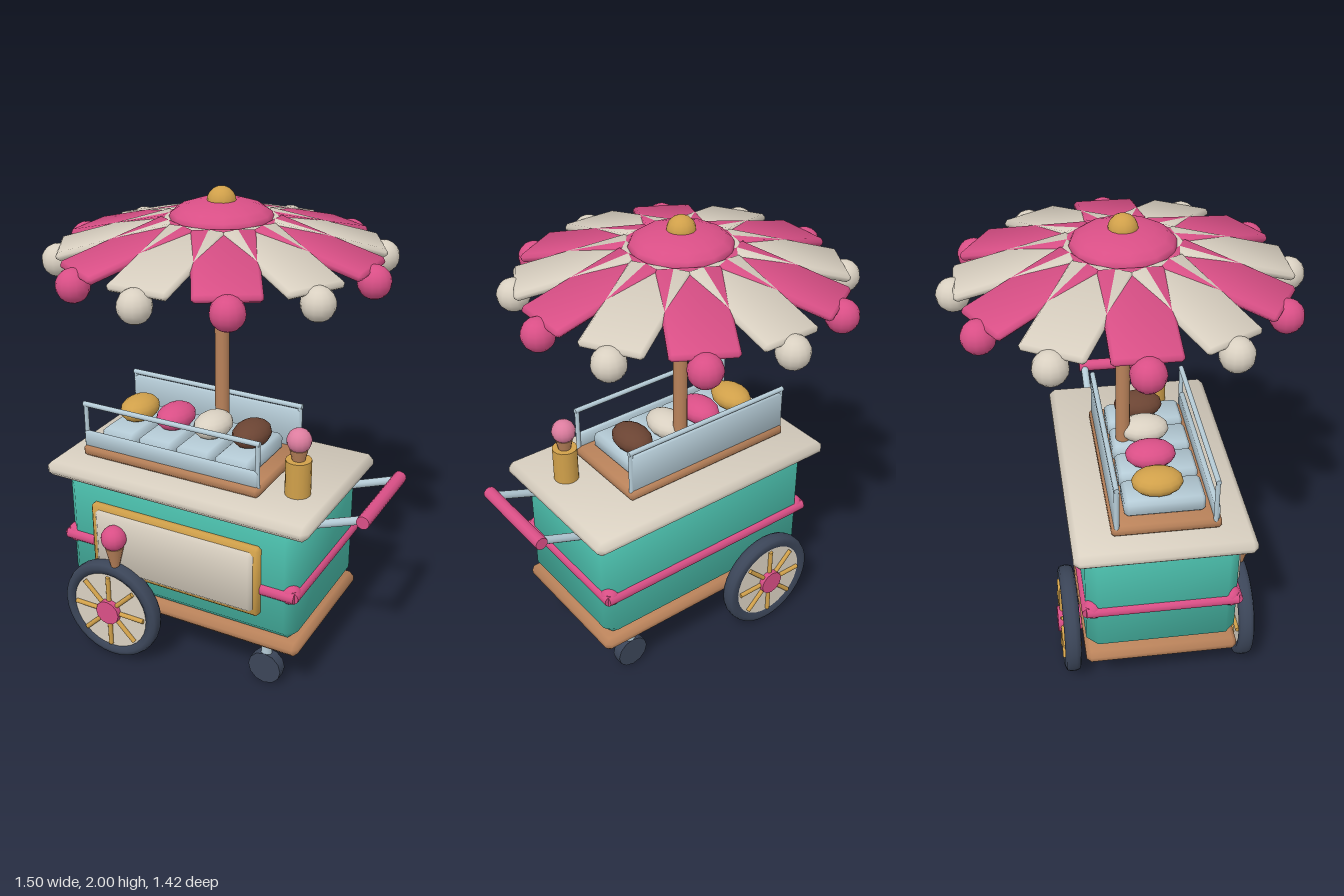
import * as THREE from 'three';
import { ConvexGeometry } from 'three/addons/geometries/ConvexGeometry.js';
import { mergeVertices } from 'three/addons/utils/BufferGeometryUtils.js';

const mat = (name, color, side = THREE.FrontSide) => {
  const m = new THREE.MeshStandardMaterial({ color, side });
  m.name = name;
  return m;
};

// Chamfered box with soft, pillow-like shading
function chamferBox(w, h, d, b) {
  const half = [w / 2, h / 2, d / 2];
  const pts = [];
  for (let axis = 0; axis < 3; axis++)
    for (const sx of [-1, 1]) for (const sy of [-1, 1]) for (const sz of [-1, 1]) {
      const s = [sx, sy, sz];
      pts.push(new THREE.Vector3(...half.map((v, i) => s[i] * (i === axis ? v : v - b))));
    }
  let g = new ConvexGeometry(pts);
  g.deleteAttribute('normal');
  g = mergeVertices(g, 1e-5);
  const p = g.attributes.position;
  const normals = [];
  for (let i = 0; i < p.count; i++) {
    const v = [p.getX(i), p.getY(i), p.getZ(i)];
    normals.push(...v.map((c, k) => Math.sign(c) * (Math.abs(c) > half[k] - b / 2 ? 0.876 : 0.34)));
  }
  g.setAttribute('normal', new THREE.Float32BufferAttribute(normals, 3));
  return g;
}

export function createModel() {
  const pink = mat('pink', 0xd94f86);
  const palePink = mat('pale pink', 0xdd7d9f);
  const cream = mat('cream', 0xd9d0c1);
  const teal = mat('teal', 0x48b8a6);
  const gold = mat('gold', 0xd0a04a);
  const wood = mat('wood', 0xb9825a);
  const navy = mat('navy', 0x3b4558);
  const silver = mat('silver', 0xb5cbd6);
  const chocolate = mat('chocolate', 0x6b4433);

  const cart = new THREE.Group();
  cart.name = 'iceCreamCart';

  const add = (name, geo, material, x = 0, y = 0, z = 0, parent = cart) => {
    const m = new THREE.Mesh(geo, material);
    m.name = name;
    m.position.set(x, y, z);
    parent.add(m);
    return m;
  };
  // Box given by its limits on each axis
  const block = (name, material, [x0, x1], [y0, y1], [z0, z1], bevel) =>
    add(name, chamferBox(x1 - x0, y1 - y0, z1 - z0, bevel), material, (x0 + x1) / 2, (y0 + y1) / 2, (z0 + z1) / 2);
  const ball = (name, material, r, x, y, z, parent) =>
    add(name, new THREE.SphereGeometry(r, 14, 10), material, x, y, z, parent);
  // Round bar between two points
  const bar = (name, material, r, a, b, parent = cart) => {
    const from = new THREE.Vector3(...a), to = new THREE.Vector3(...b);
    const mid = from.clone().add(to).multiplyScalar(0.5);
    const m = add(name, new THREE.CylinderGeometry(r, r, from.distanceTo(to), 12), material, mid.x, mid.y, mid.z, parent);
    m.quaternion.setFromUnitVectors(new THREE.Vector3(0, 1, 0), to.sub(from).normalize());
    return m;
  };

  // Cart body
  block('baseBoard', wood, [-0.595, 0.515], [0.22, 0.28], [-0.225, 0.415], 0.02);
  block('body', teal, [-0.58, 0.5], [0.28, 0.8], [-0.22, 0.41], 0.046);
  block('counter', cream, [-0.645, 0.56], [0.797, 0.863], [-0.27, 0.46], 0.024);
  block('signFrame', gold, [-0.436, 0.352], [0.388, 0.708], [0.39, 0.44], 0.012);
  block('signPanel', cream, [-0.415, 0.334], [0.404, 0.692], [0.4, 0.456], 0.02);

  // Rail around the body with corner knobs
  for (const z of [-0.212, 0.402]) bar('rail', pink, 0.026, [-0.58, 0.51, z], [0.5, 0.51, z]);
  for (const x of [-0.57, 0.49]) {
    bar('rail', pink, 0.026, [x, 0.51, -0.22], [x, 0.51, 0.41]);
    for (const z of [-0.19, 0.38]) ball('railKnob', pink, 0.044, x < 0 ? -0.55 : 0.47, 0.51, z);
  }

  // Large spoked wheels
  const tireProfile = [[0.18, -0.025], [0.205, -0.035], [0.224, -0.028], [0.23, -0.012], [0.23, 0.012],
    [0.224, 0.028], [0.205, 0.035], [0.18, 0.025], [0.18, -0.025]].map(p => new THREE.Vector2(...p));
  for (const z of [0.47, -0.275]) {
    const wheel = new THREE.Group();
    wheel.name = 'largeWheel';
    wheel.position.set(-0.325, 0.238, z);
    cart.add(wheel);
    add('tire', new THREE.LatheGeometry(tireProfile, 32), navy, 0, 0, 0, wheel).rotation.x = Math.PI / 2;
    add('wheelDisc', new THREE.CylinderGeometry(0.186, 0.186, 0.05, 32), cream, 0, 0, 0, wheel).rotation.x = Math.PI / 2;
    bar('hub', pink, 0.056, [0, 0, -0.05], [0, 0, 0.05], wheel);
    for (const side of [-0.03, 0.03])
      for (let i = 0; i < 8; i++) {
        const a = i * Math.PI / 4, c = Math.cos(a), s = Math.sin(a);
        bar('spoke', gold, 0.01, [c * 0.04, s * 0.04, side], [c * 0.17, s * 0.17, side], wheel);
      }
  }
  bar('axle', silver, 0.02, [-0.325, 0.238, -0.25], [-0.325, 0.238, 0.45]);

  // Small castors
  for (const z of [0.33, -0.14]) {
    bar('castorLeg', silver, 0.023, [0.345, 0.1, z], [0.345, 0.23, z]);
    bar('castorWheel', navy, 0.074, [0.345, 0.077, z - 0.023], [0.345, 0.077, z + 0.023]);
  }

  // Push handle
  for (const z of [-0.085, 0.275]) bar('handleArm', silver, 0.017, [0.46, 0.765, z], [0.725, 0.865, z]);
  bar('handleGrip', pink, 0.027, [0.725, 0.865, -0.11], [0.725, 0.865, 0.305]);

  // Display case with four tubs
  block('displayTray', wood, [-0.535, 0.293], [0.863, 0.91], [-0.11, 0.33], 0.012);
  block('displayBack', silver, [-0.53, 0.285], [0.905, 1.08], [-0.1, -0.078], 0.006);
  block('displayLip', silver, [-0.53, 0.285], [0.905, 0.975], [0.298, 0.32], 0.006);
  for (const z of [-0.09, 0.305]) {
    bar('displayRail', silver, 0.011, [-0.533, 1.095, z], [0.29, 1.095, z]);
    for (const x of [-0.523, 0.28]) bar('displayPost', silver, 0.01, [x, 0.9, z], [x, 1.095, z]);
  }
  [gold, pink, cream, chocolate].forEach((flavour, i) => {
    const x = -0.394 + i * 0.18;
    block('tub', silver, [x - 0.08, x + 0.08], [0.905, 0.98], [-0.05, 0.275], 0.015);
    ball('iceCream', flavour, 1, x, 1.02, 0.09).scale.set(0.077, 0.054, 0.105);
  });

  // Cone holder on the counter, and a cone ornament on the front
  add('coneHolder', new THREE.CylinderGeometry(0.053, 0.053, 0.155, 16), gold, 0.41, 0.938, 0.205);
  const cone = (scoop, r, x, top, z, h) => {
    add('cone', new THREE.CylinderGeometry(r * 0.75, 0.008, h, 12), wood, x, top - h / 2, z);
    ball('scoop', scoop, r, x, top + r * 0.72, z);
  };
  cone(palePink, 0.051, 0.41, 1.062, 0.205, 0.13);
  cone(pink, 0.055, -0.3, 0.557, 0.475, 0.14);

  // Parasol with alternating panels and pompoms
  const parasol = new THREE.Group();
  parasol.name = 'parasol';
  parasol.position.x = -0.04;
  cart.add(parasol);
  bar('pole', wood, 0.03, [0, 0.85, 0], [0, 1.9, 0], parasol);
  const panelGeo = chamferBox(0.465, 0.034, 0.252, 0.012);
  for (let i = 0; i < 12; i++) {
    const rib = new THREE.Group();
    rib.name = 'parasolRib';
    rib.rotation.y = i * Math.PI / 6;
    parasol.add(rib);
    const colour = i % 2 ? cream : pink;
    add('panel', panelGeo, colour, 0.415, 1.813, 0, rib).rotation.z = -0.25;
    ball('pompom', colour, 0.066, 0.645, 1.712, 0, rib);
  }
  const cap = add('parasolCap', new THREE.SphereGeometry(0.208, 12, 5, 0, Math.PI * 2, 0, Math.PI / 2), pink, 0, 1.878, 0, parasol);
  cap.scale.y = 0.34;
  add('capUnderside', new THREE.CircleGeometry(0.208, 12), pink, 0, 1.878, 0, parasol).rotation.x = Math.PI / 2;
  ball('finial', gold, 0.058, 0, 1.942, 0, parasol);

  return cart;
}
